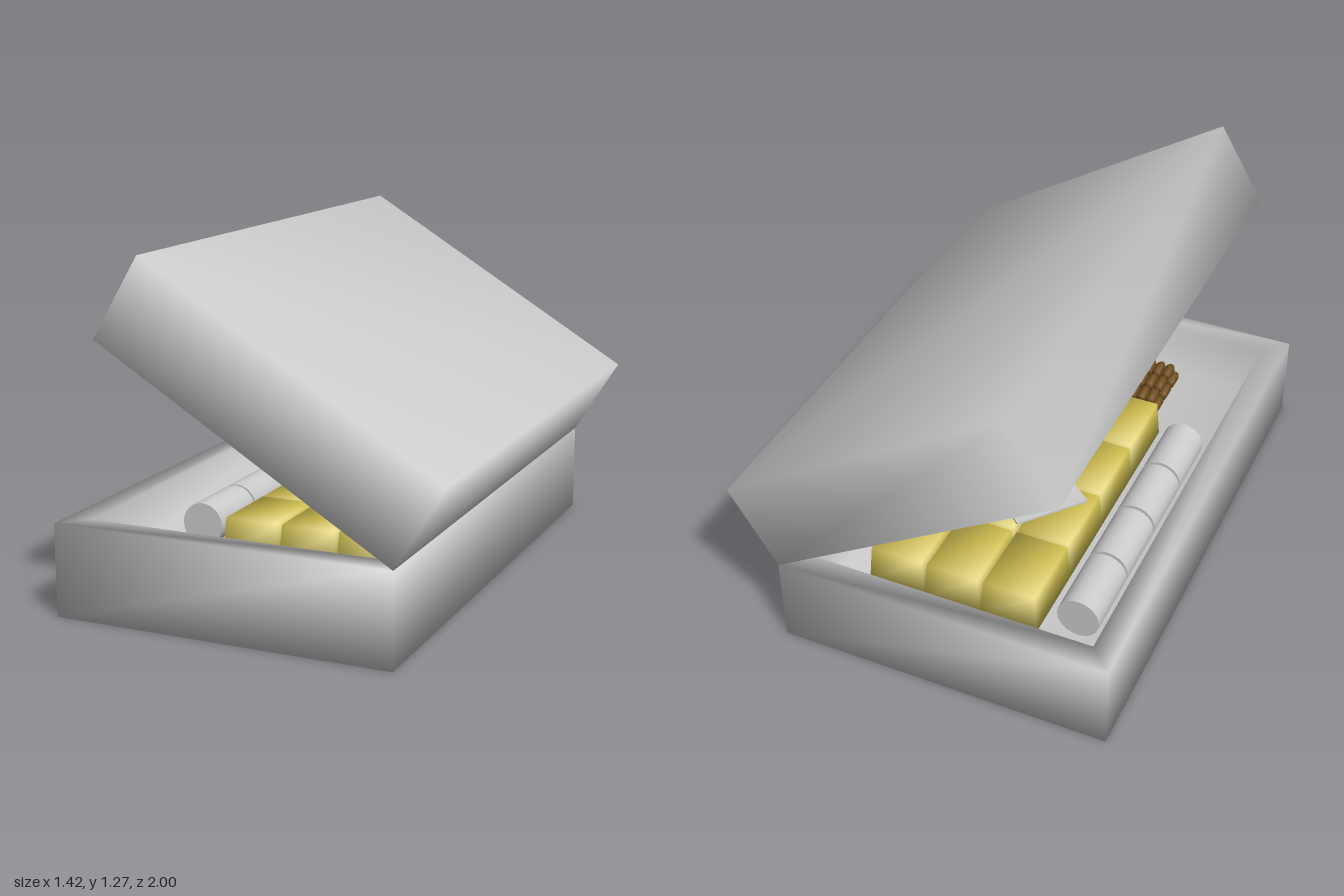
import * as THREE from 'three';
import { mergeVertices } from 'three/addons/utils/BufferGeometryUtils.js';

const W = 1.245, H = 0.335, D = 2, WALL = 0.09, FLOOR = 0.11;

const grey = new THREE.MeshStandardMaterial({ color: 0xcccccc });
const gold = new THREE.MeshStandardMaterial({ color: 0xd2c152 });
const brass = new THREE.MeshStandardMaterial({ color: 0x6e4c1e });

function add(parent, name, geometry, material, x = 0, y = 0, z = 0) {
  const mesh = new THREE.Mesh(geometry, material);
  mesh.name = name;
  mesh.position.set(x, y, z);
  parent.add(mesh);
  return mesh;
}

// Share corner normals so the faces shade softly into each other
function soften(geometry) {
  geometry.deleteAttribute('normal');
  geometry.deleteAttribute('uv');
  const merged = mergeVertices(geometry);
  merged.computeVertexNormals();
  return merged;
}

// Open tray: four rectangular rings (outer bottom, outer rim, inner rim, inner floor)
function trayGeometry() {
  const rings = [[0, 0], [0, H], [WALL, H], [WALL, FLOOR]];
  const position = [], index = [];
  for (const [inset, y] of rings) {
    const x = W / 2 - inset, z = D / 2 - inset;
    position.push(x, y, z, x, y, -z, -x, y, -z, -x, y, z);
  }
  for (let r = 0; r < 3; r++) {
    for (let i = 0; i < 4; i++) {
      const a = r * 4 + i, b = r * 4 + (i + 1) % 4;
      index.push(a, b, b + 4, a, b + 4, a + 4);
    }
  }
  index.push(0, 2, 1, 0, 3, 2, 12, 13, 14, 12, 14, 15);
  const geometry = new THREE.BufferGeometry();
  geometry.setAttribute('position', new THREE.Float32BufferAttribute(position, 3));
  geometry.setIndex(index);
  geometry.computeVertexNormals();
  return geometry;
}

// Bar that narrows slightly towards its top
function barGeometry(w, h, d) {
  const geometry = new THREE.BoxGeometry(w, h, d);
  const p = geometry.attributes.position;
  for (let i = 0; i < p.count; i++) {
    if (p.getY(i) > 0) {
      p.setX(i, p.getX(i) * 0.9);
      p.setZ(i, p.getZ(i) * 0.94);
    }
  }
  return soften(geometry);
}

export function createModel() {
  const model = new THREE.Group();
  model.name = 'openCase';

  // Case body and the matching lid, hinged along the +x edge
  const tray = trayGeometry();
  add(model, 'caseBody', tray, grey, -0.0875);
  const hinge = new THREE.Group();
  hinge.name = 'lid';
  hinge.position.set(0.535, H, 0);
  hinge.rotation.z = -0.548;
  model.add(hinge);
  add(hinge, 'lidShell', tray, grey, -W / 2, H, 0).rotation.x = Math.PI;

  // Gold bars, three across and four deep
  const bar = barGeometry(0.222, 0.15, 0.307);
  for (let i = 0; i < 3; i++) {
    for (let j = 0; j < 4; j++) {
      add(model, 'goldBar', bar, gold, (i - 1) * 0.222, FLOOR + 0.075, -0.575 + j * 0.307);
    }
  }

  // Row of rolls beside the bars
  const roll = new THREE.CylinderGeometry(0.08, 0.08, 0.26, 24).rotateX(Math.PI / 2);
  for (let i = 0; i < 4; i++) {
    add(model, 'sideRoll', roll, grey, -0.47, FLOOR + 0.08, -0.55 + i * 0.273);
  }

  // Loose roll on top with its end unrolled over the bars
  const loose = new THREE.Group();
  loose.name = 'looseRoll';
  loose.position.set(0.09, 0.335, -0.04);
  loose.rotation.y = -2.27;
  model.add(loose);
  add(loose, 'rollBody', new THREE.CylinderGeometry(0.078, 0.078, 0.29, 24).rotateZ(Math.PI / 2), grey);
  add(loose, 'rollTail', new THREE.BoxGeometry(0.29, 0.008, 0.38), grey, 0, -0.07, 0.19);

  // Cartridges in three rows and two nested layers
  const shell = new THREE.LatheGeometry([
    [0, -0.045], [0.02, -0.045], [0.02, 0.02], [0.012, 0.036], [0, 0.045],
  ].map(([x, y]) => new THREE.Vector2(x, y)), 10).rotateX(Math.PI / 2);
  for (let layer = 0; layer < 2; layer++) {
    for (let row = 0; row < 3; row++) {
      for (let i = 0; i < 14 - layer; i++) {
        add(model, 'cartridge', shell, brass,
          -0.267 + (i + layer / 2) * 0.041, FLOOR + 0.02 + layer * 0.034, 0.655 + row * 0.092);
      }
    }
  }
  return model;
}
